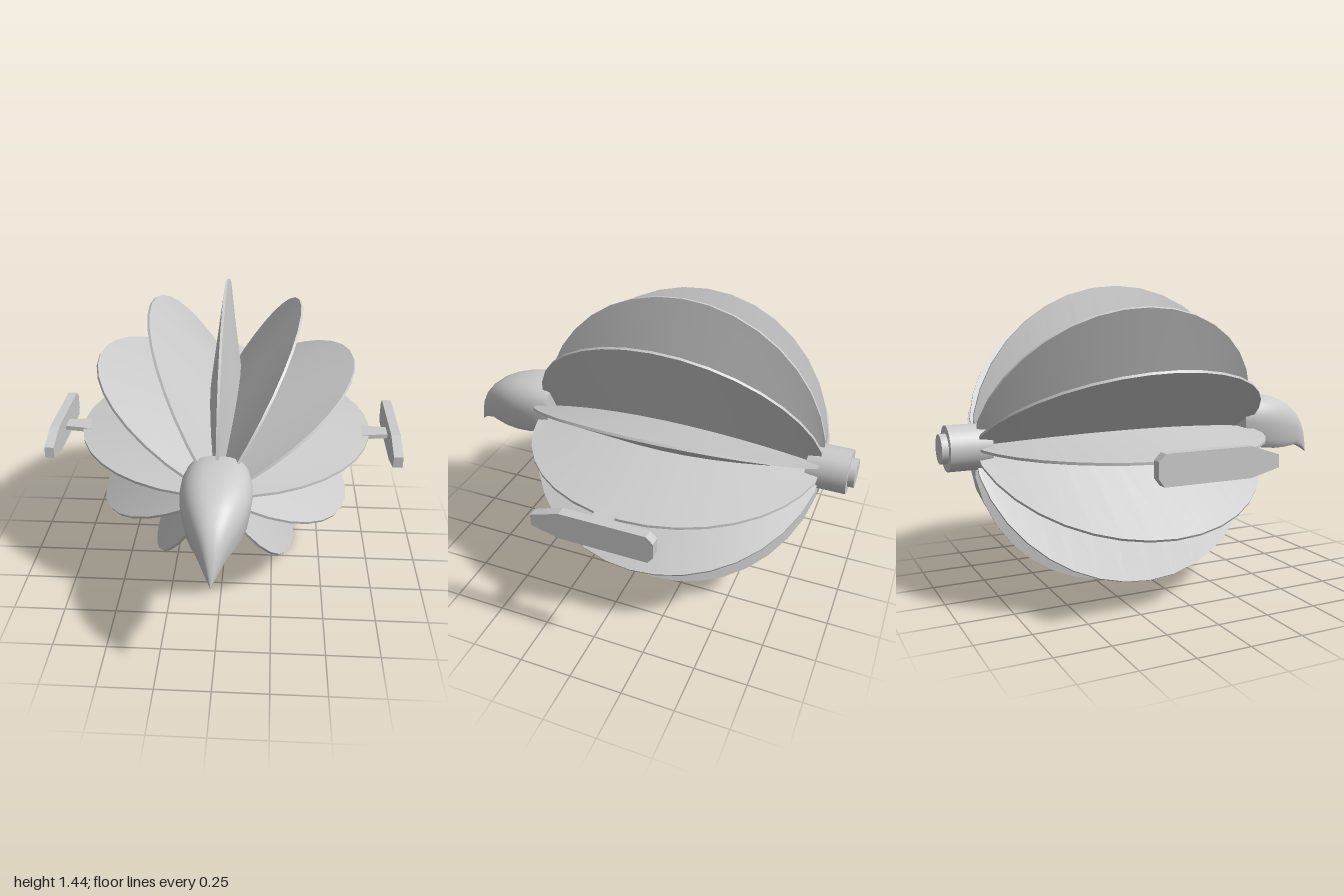
import * as THREE from 'three';
import { mergeGeometries } from 'three/addons/utils/BufferGeometryUtils.js';

const CENTER_Y = 0.725, CENTER_Z = -0.135;
const material = new THREE.MeshStandardMaterial({ color: 0xcccccc });

// Smooth surface through rows of points; rows run counterclockwise seen from +z, stacked towards +z.
function loft(rows) {
  const n = rows[0].length, index = [];
  for (let i = 0; i < rows.length - 1; i++) {
    for (let j = 0; j < n - 1; j++) {
      const a = i * n + j, b = a + 1, c = b + n, d = a + n;
      index.push(a, b, c, a, c, d);
    }
  }
  const geometry = new THREE.BufferGeometry();
  geometry.setAttribute('position', new THREE.Float32BufferAttribute(rows.flat(2), 3));
  geometry.setIndex(index);
  geometry.computeVertexNormals();
  return geometry;
}

function addMesh(parent, name, geometry) {
  const mesh = new THREE.Mesh(geometry, material);
  mesh.name = name;
  parent.add(mesh);
  return mesh;
}

// One wedge-shaped fin pointing up: thick at the core, thin along its round outer edge.
function finGeometry() {
  const radius = 0.72, half = 0.706, steps = 16, edge = 0.006;
  const maxAngle = Math.asin(half / radius), valley = Math.PI / 12;
  const sections = [];
  for (let i = 0; i <= steps; i++) {
    const a = -maxAngle + (2 * maxAngle * i) / steps;
    const z = radius * Math.sin(a), r = radius * Math.cos(a);
    const root = 0.02 + 0.25 * (1 - (z / half) ** 2);
    const x = root * Math.sin(valley), y = root * Math.cos(valley);
    sections.push([[x, y, z], [edge, r, z], [-edge, r, z], [-x, y, z]]);
  }
  const strips = [0, 1, 2].map((k) => loft(sections.map((s) => [s[k], s[k + 1]])));
  const [first, last] = [sections[0], sections[steps]];
  strips.push(loft([[last[0], last[1]], [last[3], last[2]]]));
  strips.push(loft([[first[3], first[2]], [first[0], first[1]]]));
  return mergeGeometries(strips);
}

// Hooked beak-like head: domed above, nearly flat below.
function headGeometry() {
  // z, half width, top, bottom
  const profile = [
    [0.52, 0.142, 0.893, 0.640], [0.58, 0.153, 0.899, 0.628], [0.65, 0.155, 0.896, 0.616],
    [0.72, 0.146, 0.884, 0.608], [0.79, 0.125, 0.863, 0.605], [0.85, 0.099, 0.832, 0.606],
    [0.90, 0.072, 0.792, 0.609], [0.94, 0.048, 0.745, 0.594], [0.97, 0.028, 0.688, 0.578],
    [0.99, 0.011, 0.620, 0.564], [1.00, 0.001, 0.560, 0.556],
  ];
  const power = 2 / 2.5, segments = 24;
  const shell = profile.map(([z, w, top, bottom]) => {
    const mid = bottom + (top - bottom) * 0.5;
    const row = [[0.72 * w, bottom + 0.006, z], [0.92 * w, bottom + (mid - bottom) * 0.35, z]];
    for (let i = 0; i <= segments; i++) {
      const a = (Math.PI * i) / segments, c = Math.cos(a), s = Math.sin(a);
      row.push([w * Math.sign(c) * Math.abs(c) ** power, mid + (top - mid) * Math.abs(s) ** power, z]);
    }
    row.push([-0.92 * w, row[1][1], z], [-0.72 * w, bottom + 0.006, z]);
    return row;
  });
  const underside = profile.map(([z, w, , bottom]) => [
    [-0.72 * w, bottom + 0.006, z], [0, bottom, z], [0.72 * w, bottom + 0.006, z],
  ]);
  const rim = [...shell[0], underside[0][1], shell[0][0]];
  const back = loft([rim.map(() => [0, 0.76, 0.52]), rim]);
  return mergeGeometries([loft(shell), loft(underside), back]);
}

function zCylinder(radius, z0, z1) {
  return new THREE.CylinderGeometry(radius, radius, z1 - z0, 32)
    .rotateX(Math.PI / 2).translate(0, CENTER_Y, (z0 + z1) / 2);
}

// Extrudes a flat outline by a depth centred on zero.
function plate(points, depth) {
  const shape = new THREE.Shape(points.map(([x, y]) => new THREE.Vector2(x, y)));
  return new THREE.ExtrudeGeometry(shape, { depth, bevelEnabled: false }).translate(0, 0, -depth / 2);
}

export function createModel() {
  const model = new THREE.Group();
  model.name = 'finnedCraft';

  // Twelve fins around the long axis
  const body = new THREE.Group();
  body.name = 'finnedBody';
  body.position.set(0, CENTER_Y, CENTER_Z);
  const fin = finGeometry();
  for (let i = 0; i < 12; i++) addMesh(body, 'fin', fin).rotation.z = (i * Math.PI) / 6;
  model.add(body);

  addMesh(model, 'beakedHead', headGeometry());

  // Tail hub and its end cap
  addMesh(model, 'tailHub', zCylinder(0.105, -0.97, -0.78));
  addMesh(model, 'tailCap', zCylinder(0.068, -1.0, -0.96));

  // Side plates carried on thin struts
  const plateOutline = [
    [0.22, 0.69], [0.22, 0.745], [0.085, 0.79], [-0.31, 0.79],
    [-0.34, 0.76], [-0.34, 0.69], [-0.315, 0.657], [0.085, 0.657],
  ];
  const strutOutline = [[0.66, 0.0], [0.71, -0.015], [0.81, -0.03], [0.81, -0.105], [0.71, -0.115], [0.66, -0.125]];
  for (const side of [1, -1]) {
    const name = side > 0 ? 'left' : 'right';
    addMesh(model, name + 'SidePlate',
      plate(plateOutline, 0.045).rotateY(-Math.PI / 2).translate(side * 0.825, 0, 0));
    const strut = plate(strutOutline.map(([x, z]) => [side * x, -z]), 0.022);
    addMesh(model, name + 'Strut', strut.rotateX(-Math.PI / 2).translate(0, CENTER_Y, 0));
  }
  return model;
}
